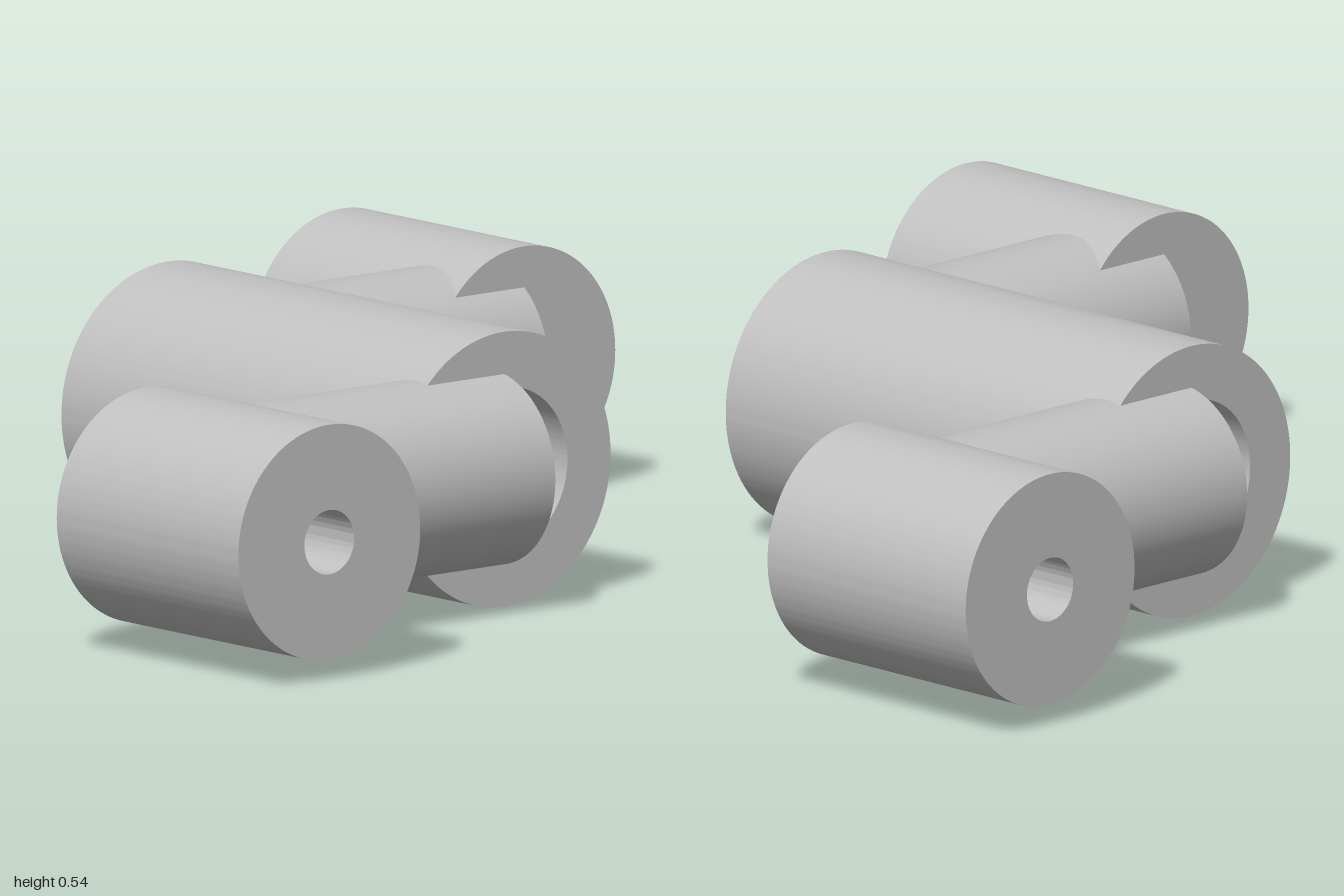
import * as THREE from 'three';
import { toCreasedNormals } from 'three/addons/utils/BufferGeometryUtils.js';

const AXIS_Y = 0.269, ARM_Z = 0.462, ARM_R = 0.19, END_X = 0.77;
const BORE_R = 0.16, HOLE_R = 0.063;
const BORE_FLOOR = 0.545, HOLE_FLOOR = 0.308;

export function createModel() {
  const steel = new THREE.MeshStandardMaterial({ color: 0xc0c0c0, side: THREE.DoubleSide });
  steel.name = 'light grey steel';

  const add = (parent, name, geometry, x = 0, z = 0) => {
    const mesh = new THREE.Mesh(geometry, steel);
    mesh.name = name;
    mesh.position.set(x, 0, z);
    parent.add(mesh);
    return mesh;
  };

  // Thick-walled tube along z
  const tube = (outer, inner, length) => {
    const shape = new THREE.Shape().absarc(0, 0, outer, 0, Math.PI * 2);
    shape.holes.push(new THREE.Path().absarc(0, 0, inner, 0, Math.PI * 2, true));
    const g = new THREE.ExtrudeGeometry(shape, { depth: length, bevelEnabled: false, curveSegments: 96 });
    return toCreasedNormals(g, 0.6);
  };

  // Round arm along x, its ends trimmed where the two bores enter it
  const armSkin = () => {
    const g = new THREE.CylinderGeometry(ARM_R, ARM_R, 1, 192, 1, true).rotateZ(Math.PI / 2);
    const p = g.attributes.position;
    const bite = (r, y) => Math.sqrt(Math.max(0, r * r - y * y));
    for (let i = 0; i < p.count; i++) {
      const y = p.getY(i), z = p.getZ(i);
      if (p.getX(i) > 0) p.setX(i, z < 0 ? -bite(BORE_R, y) : 0);
      else p.setX(i, -END_X + (z > 0 ? bite(HOLE_R, y) : 0));
    }
    return g;
  };

  // Flat arm end with a slot of half-width r, cut from one side (dir) to a floor
  const armEnd = (r, floor, dir) => {
    const a = Math.PI - Math.asin(r / ARM_R);
    const shape = new THREE.Shape();
    shape.absarc(0, 0, ARM_R, -a, a, false);
    shape.lineTo(floor, r);
    shape.lineTo(floor, -r);
    shape.closePath();
    return new THREE.ShapeGeometry(shape, 96).rotateY(dir * Math.PI / 2);
  };

  // Half-round blind end of a bore; side = -1 or 1 picks the half in x
  const pocket = (parent, name, r, x, zOpen, zFloor, side) => {
    const wall = new THREE.CylinderGeometry(r, r, Math.abs(zFloor - zOpen), 48, 1, true,
      side > 0 ? 0 : Math.PI, Math.PI).rotateX(Math.PI / 2);
    add(parent, name + 'Wall', wall, x, (zOpen + zFloor) / 2);
    add(parent, name + 'Floor', new THREE.CircleGeometry(r, 48, -side * Math.PI / 2, Math.PI), x, zFloor);
  };

  const model = new THREE.Group();
  model.name = 'offsetCrank';
  const body = new THREE.Group();
  body.name = 'crankBody';
  body.position.y = AXIS_Y;
  model.add(body);

  add(body, 'centreTube', tube(AXIS_Y, BORE_R, 1), 0, -0.5);

  // Arm and end tube, repeated by a half turn about y
  for (const [name, turn] of [['front', 0], ['back', Math.PI]]) {
    const half = new THREE.Group();
    half.name = name + 'Crank';
    half.rotation.y = turn;
    body.add(half);

    add(half, name + 'EndTube', tube(0.23, HOLE_R, 0.54), -END_X, 0.345);
    add(half, name + 'Arm', armSkin(), 0, ARM_Z);
    add(half, name + 'ArmInnerEnd', armEnd(BORE_R, BORE_FLOOR - ARM_Z, -1), 0, ARM_Z);
    add(half, name + 'ArmOuterEnd', armEnd(HOLE_R, ARM_Z - HOLE_FLOOR, 1), -END_X, ARM_Z);
    pocket(half, name + 'Bore', BORE_R, 0, 0.5, BORE_FLOOR, -1);
    pocket(half, name + 'Hole', HOLE_R, -END_X, 0.345, HOLE_FLOOR, 1);
  }
  return model;
}
